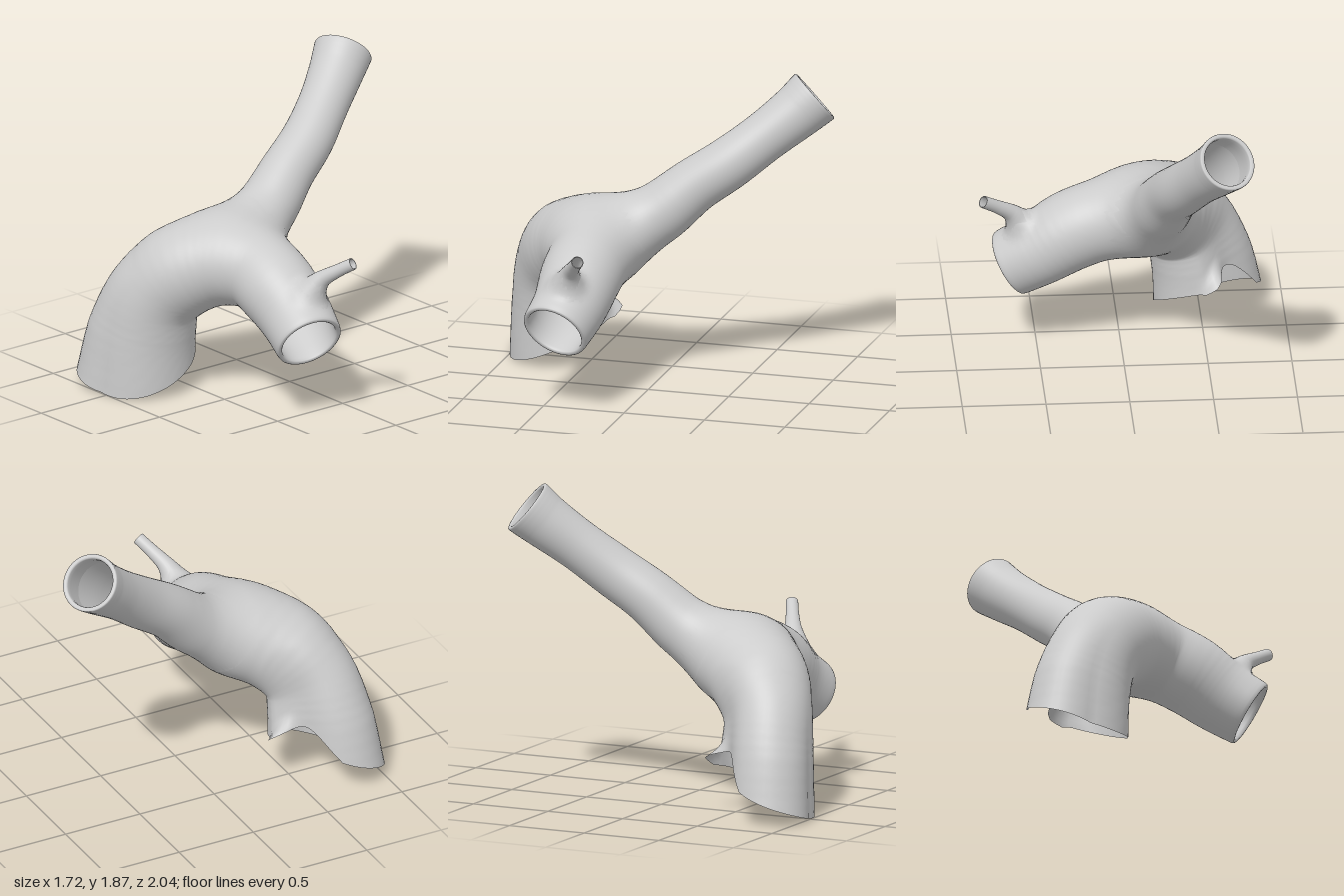
import * as THREE from 'three';

// Each limb: control points [x, y, z, radius]
const limbs = {
  trunkAndArm: [
    [-0.54, 0, 0.69, 0.32], [-0.50, 0.35, 0.69, 0.295], [-0.43, 0.58, 0.67, 0.275],
    [-0.31, 0.74, 0.58, 0.285], [-0.13, 0.82, 0.45, 0.265], [0.10, 0.81, 0.34, 0.245],
    [0.30, 0.735, 0.335, 0.24], [0.48, 0.62, 0.345, 0.22], [0.66, 0.51, 0.385, 0.205]],
  upperBranch: [
    [-0.20, 0.88, 0.24, 0.20], [-0.22, 1.03, 0, 0.185], [-0.27, 1.20, -0.20, 0.165],
    [-0.325, 1.34, -0.40, 0.158], [-0.415, 1.50, -0.60, 0.152], [-0.51, 1.65, -0.78, 0.165],
    [-0.56, 1.735, -0.87, 0.178]],
  sideSpout: [
    [0.58, 0.77, 0.33, 0.10], [0.65, 0.88, 0.29, 0.055], [0.74, 0.95, 0.24, 0.04],
    [0.83, 1.01, 0.19, 0.037]],
};

function makeLimb(points) {
  const axis = new THREE.CatmullRomCurve3(
    points.map(p => new THREE.Vector3(p[0], p[1], p[2])));
  const girth = new THREE.CatmullRomCurve3(
    points.map((p, i) => new THREE.Vector3(p[3], i * 0.2, 0)));
  const count = points.length * 4;
  const samples = [];
  for (let i = 0; i <= count; i++) {
    samples.push({ p: axis.getPoint(i / count), r: girth.getPoint(i / count).x });
  }
  return { axis, girth, samples };
}

// Distance from q to the tapered tube around a limb's axis
function limbDistance({ samples }, q) {
  let best = Infinity;
  for (let i = 0; i + 1 < samples.length; i++) {
    const a = samples[i], b = samples[i + 1];
    const dx = b.p.x - a.p.x, dy = b.p.y - a.p.y, dz = b.p.z - a.p.z;
    const ex = q.x - a.p.x, ey = q.y - a.p.y, ez = q.z - a.p.z;
    const along = (ex * dx + ey * dy + ez * dz) / (dx * dx + dy * dy + dz * dz);
    const t = Math.min(1, Math.max(0, along));
    const d = Math.hypot(ex - t * dx, ey - t * dy, ez - t * dz) - (a.r + t * (b.r - a.r));
    if (d < best) best = d;
  }
  return best;
}

function blend(a, b, k) {
  const h = Math.max(k - Math.abs(a - b), 0) / k;
  return Math.min(a, b) - h * h * k / 4;
}

// Rolled rim and inner wall: [distance back from the limb's end, radius factor]
const RIM = [[0.012, 1], [0.003, 0.985], [0, 0.95], [0, 0.89], [0.004, 0.85], [0.015, 0.835],
  [0.06, 0.85], [0.12, 0.91], [0.2, 0.99]];

// Sweep rings along a limb and push every vertex out to the blended skin
function sweepLimb(limb, skin, { rings, sides, ref, start = () => 0, flare = () => 0 }) {
  const pos = [], reach = [], index = [], rows = [];
  for (let i = 0; i < rings; i++) rows.push([i / rings, 1, false]);
  RIM.forEach(([back, scale]) => rows.push([1 - back, scale, true]));
  const q = new THREE.Vector3();
  rows.forEach(([s, scale, rim]) => {
    for (let j = 0; j < sides; j++) {
      const angle = j / sides * Math.PI * 2;
      const u0 = start(angle);
      const u = rim ? s : u0 + (0.985 - u0) * s;
      const c = limb.axis.getPoint(u), r = limb.girth.getPoint(u).x;
      const T = limb.axis.getTangent(u);
      const N = ref.clone().addScaledVector(T, -ref.dot(T)).normalize();
      const B = new THREE.Vector3().crossVectors(T, N);
      const dir = N.multiplyScalar(Math.cos(angle)).addScaledVector(B, Math.sin(angle));
      const limit = r * 1.8;
      let t = r * 0.3;
      for (let k = 0; k < 60 && t < limit; k++) {
        const d = skin(q.copy(c).addScaledVector(dir, t));
        if (d > -0.0005) break;
        t -= d;
      }
      reach.push(t < limit ? t : Infinity);   // Infinity: ray runs into another limb
      q.copy(c).addScaledVector(dir, Math.min(t, limit) * scale + flare(angle, s));
      pos.push(q.x, q.y, q.z);
    }
  });
  // Leave out quads that jump into a neighbouring limb, which covers that area itself
  for (let i = 0; i + 1 < rows.length; i++) {
    for (let j = 0; j < sides; j++) {
      const a = i * sides + j, b = i * sides + (j + 1) % sides;
      const c = b + sides, d = a + sides;
      const spans = [a, b, c, d].map(k => reach[k]);
      if (Math.max(...spans) - Math.min(...spans) <= 0.06) index.push(a, b, c, a, c, d);
    }
  }
  const geo = new THREE.BufferGeometry();
  geo.setAttribute('position', new THREE.Float32BufferAttribute(pos, 3));
  geo.setIndex(index);
  geo.computeVertexNormals();
  return geo;
}

export function createModel() {
  const group = new THREE.Group();
  group.name = 'branchingTube';
  const material = new THREE.MeshStandardMaterial({ color: 0xcccccc, side: THREE.DoubleSide });

  const main = makeLimb(limbs.trunkAndArm);
  const branch = makeLimb(limbs.upperBranch);
  const spout = makeLimb(limbs.sideSpout);
  const skin = q => blend(
    blend(limbDistance(main, q), limbDistance(branch, q), 0.27), limbDistance(spout, q), 0.06);

  // Slanted trunk mouth: low in front, raised at the back and right (angle 0 = +z, 90 degrees = +x)
  const mouth = angle => {
    const dz = Math.cos(angle), dx = Math.sin(angle);
    const notch = dx < 0 && dz < 0 ? 0.24 * dx * dz : 0;
    return Math.max(0, 0.135 - 0.13 * dz - 0.02 * dx + notch) / 0.35 / 8;
  };
  // Lower trunk swells to the front right and flattens to the back right,
  // with a small curled lip at the back of the mouth
  const trunkShape = (angle, s) => {
    const dz = Math.cos(angle), dx = Math.sin(angle);
    const swell = dx < 0 ? -0.16 * dx * dz : 0;
    const off = (angle - Math.PI * 1.07) / 0.2;
    return swell * Math.max(0, 1 - s / 0.3) + 0.1 * Math.exp(-off * off) * Math.max(0, 1 - s / 0.06) ** 2;
  };

  const add = (name, limb, options) => {
    const mesh = new THREE.Mesh(sweepLimb(limb, skin, options), material);
    mesh.name = name;
    group.add(mesh);
  };
  add('trunkAndArm', main,
    { rings: 90, sides: 64, ref: new THREE.Vector3(0, 0, 1), start: mouth, flare: trunkShape });
  add('upperBranch', branch, { rings: 64, sides: 48, ref: new THREE.Vector3(1, 0, 0) });
  add('sideSpout', spout, { rings: 36, sides: 24, ref: new THREE.Vector3(0, 0, 1) });
  return group;
}
